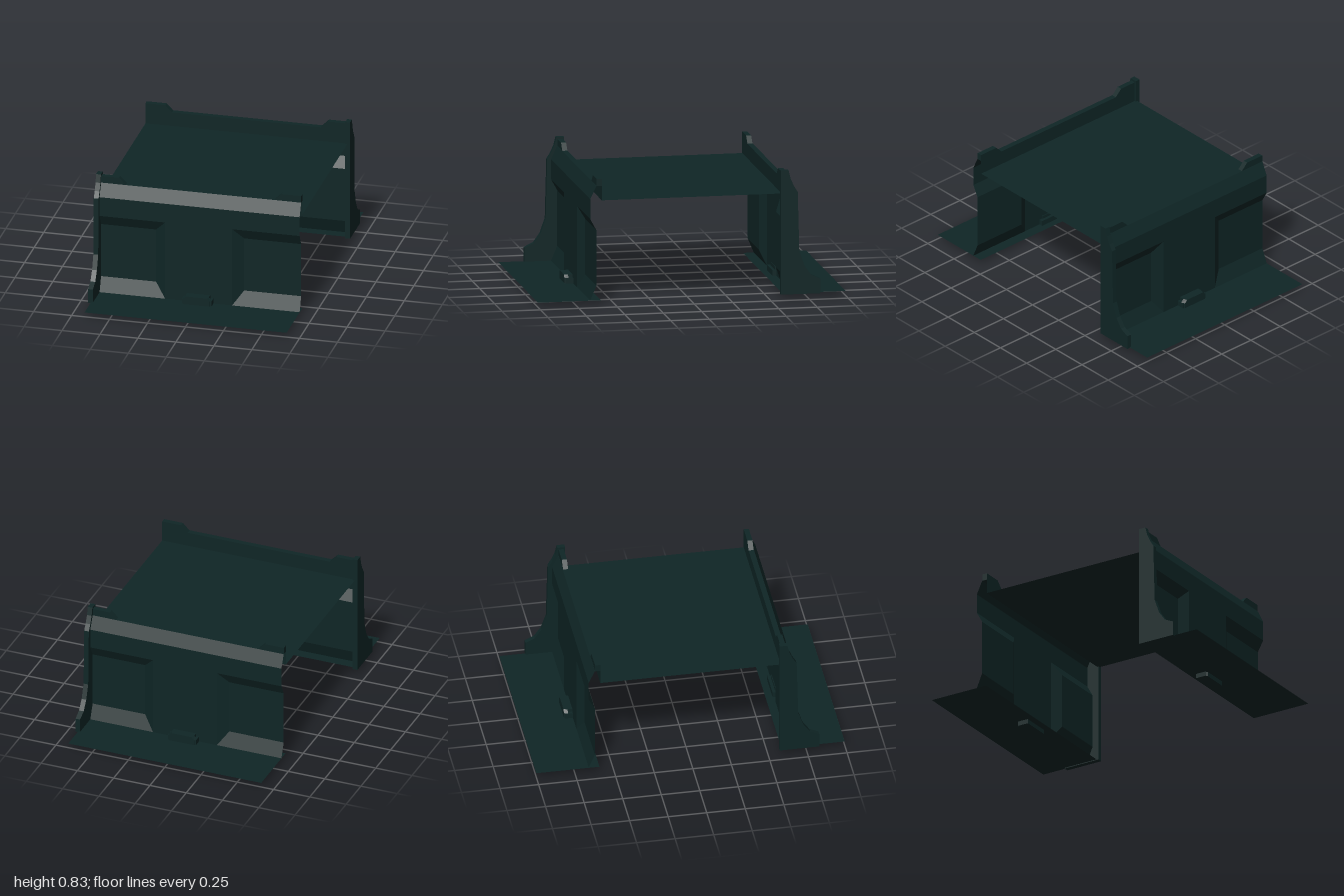
import * as THREE from 'three';

const paint = new THREE.MeshStandardMaterial({ color: 0x0f2626, side: THREE.DoubleSide });
paint.name = 'dark teal';

const W = 0.665;      // half width of the walls
const FACE = 0.66;    // z of the wall face
const DEEP = 0.62;    // z of the recessed panels

// Flat-faced mesh from a list of quads, corners counter-clockwise from the front
function quads(name, list) {
  const pos = [];
  for (const [a, b, c, d] of list) pos.push(...a, ...b, ...c, ...a, ...c, ...d);
  const geo = new THREE.BufferGeometry();
  geo.setAttribute('position', new THREE.Float32BufferAttribute(pos, 3));
  geo.computeVertexNormals();
  const mesh = new THREE.Mesh(geo, paint);
  mesh.name = name;
  return mesh;
}

// Sweeps a [z, y] profile along x, from x0 to x1
function strip(name, profile, x0, x1) {
  const list = [];
  for (let i = 0; i < profile.length - 1; i++) {
    const [z0, y0] = profile[i], [z1, y1] = profile[i + 1];
    list.push([[x0, y0, z0], [x1, y0, z0], [x1, y1, z1], [x0, y1, z1]]);
  }
  return quads(name, list);
}

function extrude(name, points, depth) {
  const shape = new THREE.Shape(points.map(p => new THREE.Vector2(...p)));
  const mesh = new THREE.Mesh(new THREE.ExtrudeGeometry(shape, { depth, bevelEnabled: false }), paint);
  mesh.name = name;
  return mesh;
}

// Recessed panel with bevelled top, inner side and bottom, open to the wall end
function recess(s) {
  const A = [s * 0.22, 0.56, FACE], B = [s * W, 0.56, FACE];
  const C = [s * W, 0.487, DEEP], D = [s * 0.29, 0.487, DEEP];
  const E = [s * 0.29, 0.125, DEEP], F = [s * W, 0.125, DEEP];
  const G = [s * 0.22, 0.03, FACE], H = [s * W, 0.03, FACE];
  const list = [[D, C, B, A], [G, E, D, A], [E, F, C, D], [G, H, F, E]];
  return quads('recessedPanel', s > 0 ? list : list.map(q => q.slice().reverse()));
}

function sideWall() {
  const wall = new THREE.Group();
  wall.name = 'sideWall';

  // Wall skin: centre pier, upper band with sloped lip, two recesses
  wall.add(strip('centrePier', [[FACE, 0.03], [FACE, 0.56]], -0.22, 0.22));
  wall.add(strip('upperBand',
    [[FACE, 0.56], [FACE, 0.69], [DEEP, 0.775], [0.585, 0.775], [0.585, 0.68]], -W, W));
  wall.add(recess(1), recess(-1));

  // Raised tabs at both ends of the lip
  for (const s of [-1, 1]) {
    const tab = extrude('cornerTab',
      [[s * 0.49, 0.775], [s * W, 0.775], [s * W, 0.82], [s * 0.535, 0.82]], 0.033);
    tab.position.z = 0.585;
    wall.add(tab);
  }

  // Thin floor flange
  wall.add(strip('floorFlange', [[1, 0.03], [0.59, 0.03]], -W, W));

  // Flared plate closing one end
  const plate = extrude('endPlate', [
    [0.575, 0.025], [0.832, 0.025], [0.832, 0.12], [0.772, 0.148], [0.728, 0.21], [0.695, 0.305],
    [0.685, 0.69], [0.66, 0.73], [0.638, 0.78], [0.625, 0.833], [0.575, 0.833]
  ], 0.032);
  plate.rotation.y = -Math.PI / 2;
  plate.position.x = -0.652;
  wall.add(plate);

  // Small chamfered latch at the foot of the wall
  const base = new THREE.Mesh(new THREE.BoxGeometry(0.194, 0.065, 0.075), paint);
  base.name = 'latchBase';
  base.position.set(0, 0.0325, 0.6725);
  const cap = extrude('latchCap',
    [[-0.097, 0], [0.097, 0], [0.097, 0.065], [0.077, 0.085], [-0.077, 0.085], [-0.097, 0.065]], 0.025);
  // Narrow the front of the latch
  const p = cap.geometry.attributes.position;
  for (let i = 0; i < p.count; i++) {
    if (p.getZ(i) > 0.01) p.setX(i, p.getX(i) * 0.88);
  }
  cap.geometry.computeVertexNormals();
  cap.position.z = 0.691;
  const top = new THREE.Mesh(new THREE.BoxGeometry(0.154, 0.022, 0.04), paint);
  top.name = 'latchTop';
  top.position.set(0, 0.074, 0.675);
  wall.add(base, cap, top);
  return wall;
}

export function createModel() {
  const model = new THREE.Group();
  model.name = 'wallSection';

  // Two identical walls, the second turned half round
  const front = sideWall();
  const back = sideWall();
  back.rotation.y = Math.PI;
  model.add(front, back);

  // Flat deck between the walls
  model.add(strip('deck', [[0.585, 0.68], [-0.585, 0.68]], -W, W));
  return model;
}
